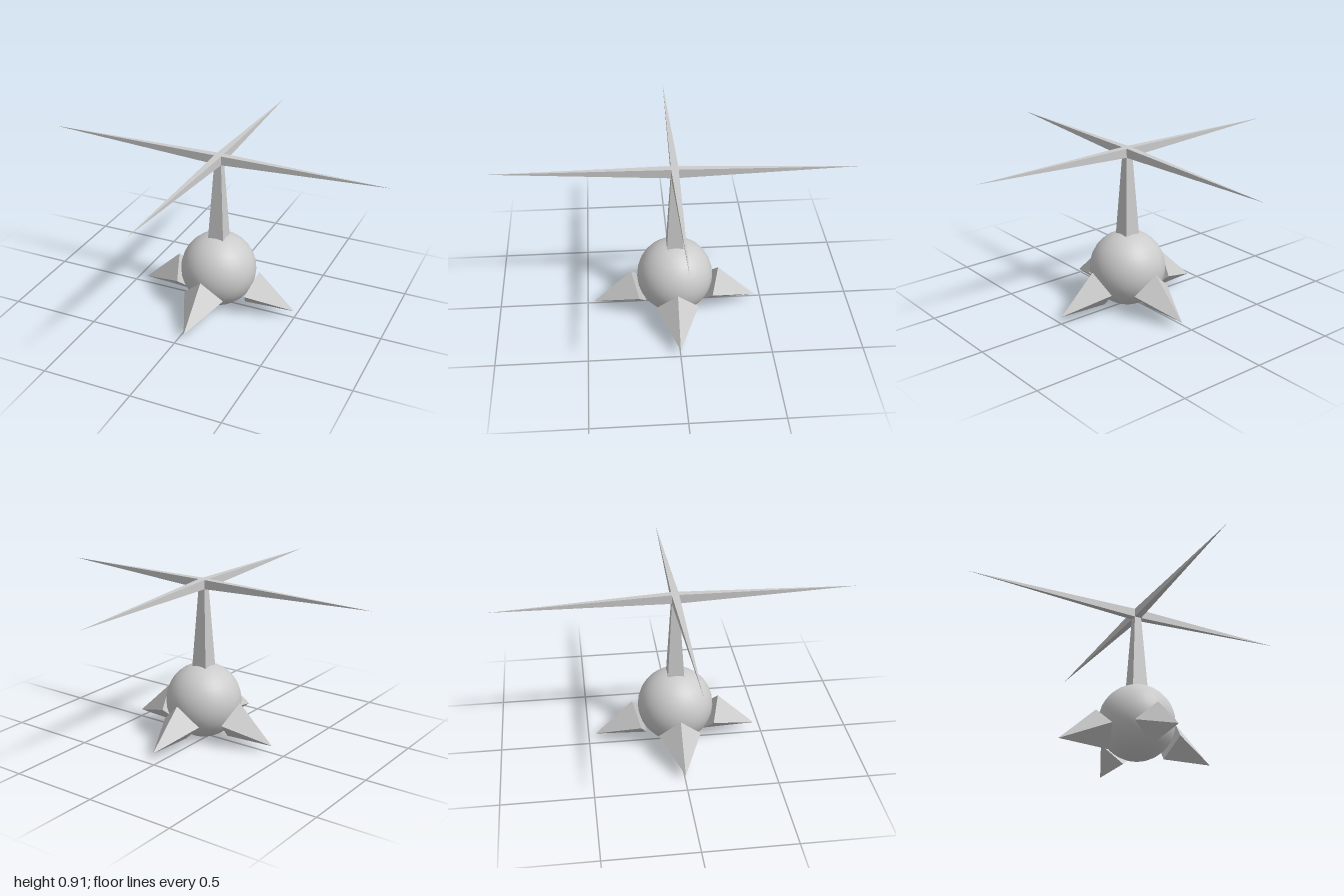
import * as THREE from 'three';
import { ConvexGeometry } from 'three/addons/geometries/ConvexGeometry.js';

const material = new THREE.MeshStandardMaterial({ color: 0xcccccc });
const AXIS_X = 0.037; // the body sits slightly off the rotor's middle
const RADIUS = 0.213;

// Flat-faced solid spanning a few corner points
function solid(name, points) {
  const geometry = new ConvexGeometry(points.map((p) => new THREE.Vector3(...p)));
  const mesh = new THREE.Mesh(geometry, material);
  mesh.name = name;
  return mesh;
}

// Square of corners around the axis at height y
function square(half, y) {
  return [[-half, y, -half], [half, y, -half], [half, y, half], [-half, y, half]];
}

export function createModel() {
  const model = new THREE.Group();
  model.name = 'rotorCraft';
  const craft = new THREE.Group();
  craft.name = 'craft';
  craft.position.x = AXIS_X;
  model.add(craft);

  // Round body
  const body = new THREE.Mesh(new THREE.SphereGeometry(RADIUS, 32, 16), material);
  body.name = 'body';
  body.position.y = RADIUS;
  craft.add(body);

  // Tapered mast and the block that carries the blades
  const hubHalf = 0.02, hubLow = 0.861, hubHigh = 0.912;
  const hubCorners = [...square(hubHalf, hubLow), ...square(hubHalf, hubHigh)];
  craft.add(solid('mast', [...square(0.046, 0.41), ...square(hubHalf, hubLow)]));
  craft.add(solid('hub', hubCorners));

  // Four blades, each a long spike drawn out of one side of the hub
  const blades = [
    { name: 'leftBlade', axis: 0, sign: 1, tip: [0.98 - AXIS_X, 0.902, 0] },
    { name: 'rightBlade', axis: 0, sign: -1, tip: [-0.98 - AXIS_X, 0.902, 0] },
    { name: 'frontBlade', axis: 2, sign: 1, tip: [-0.016, 0.904, 1] },
    { name: 'backBlade', axis: 2, sign: -1, tip: [-0.016, 0.87, -1] },
  ];
  for (const { name, axis, sign, tip } of blades) {
    const root = hubCorners.filter((p) => p[axis] * sign > 0);
    craft.add(solid(name, [...root, tip]));
  }

  // Four pyramid feet leaning against the body
  const footCorners = [
    [0, 0.245, 0.247], [0.118, 0.135, 0.206], [0, 0.028, 0.165], [-0.118, 0.135, 0.206],
    [0, 0.041, 0.461],
  ];
  ['frontFoot', 'leftFoot', 'backFoot', 'rightFoot'].forEach((name, i) => {
    const foot = solid(name, footCorners);
    foot.rotation.y = (i * Math.PI) / 2;
    craft.add(foot);
  });

  return model;
}
